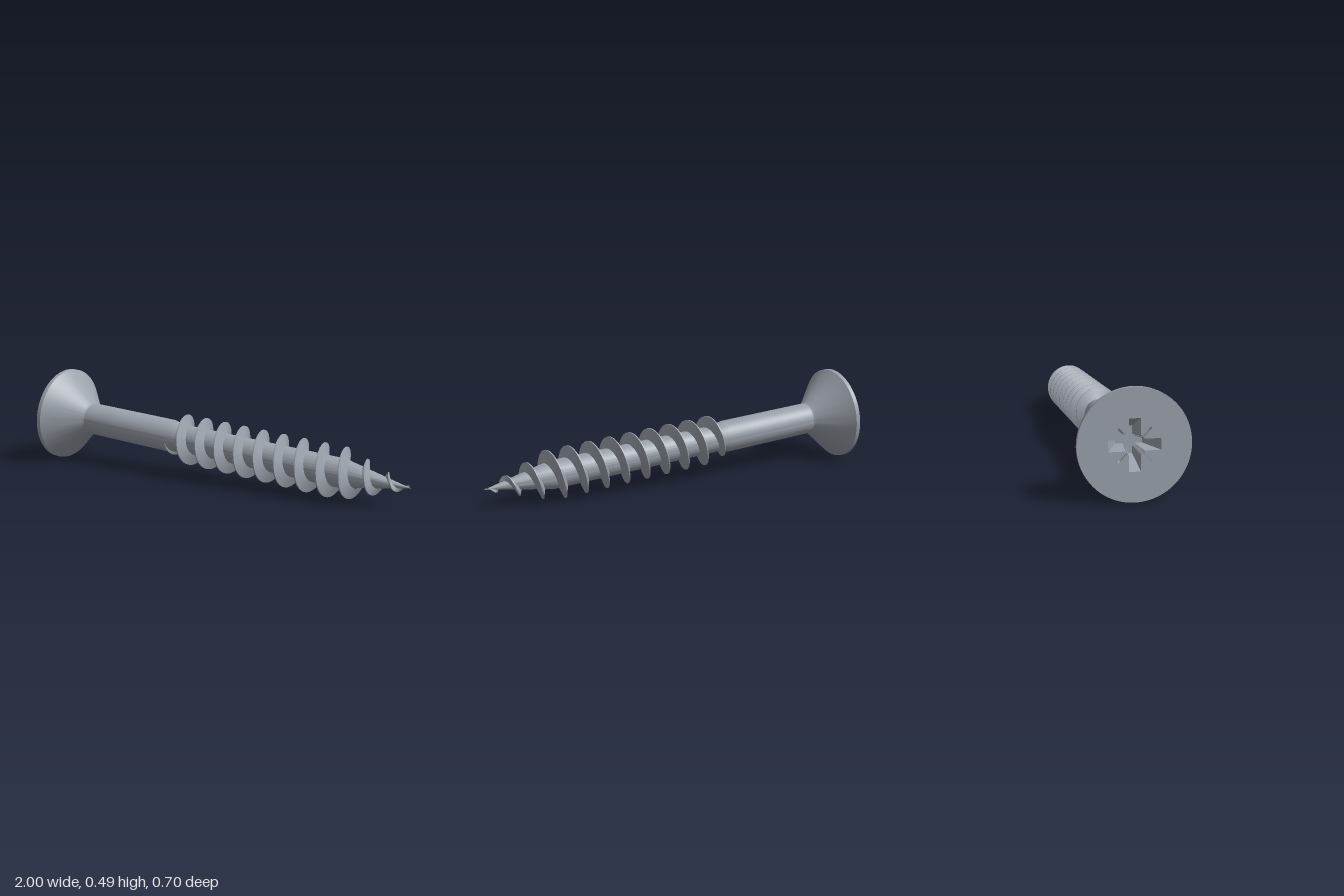
import * as THREE from 'three';
import { toCreasedNormals } from 'three/addons/utils/BufferGeometryUtils.js';

const LENGTH = 1.993, PITCH = 0.1097;
const lerp = THREE.MathUtils.lerp, clamp = THREE.MathUtils.clamp;

// core radius at distance t behind the head face
function coreRadius(t) {
  return t < 1.66 ? 0.07 : 0.07 * Math.max(0, (LENGTH - t) / (LENGTH - 1.66));
}

// crest radius of the thread: run-in, full height, taper to the tip
function crestRadius(t) {
  const runIn = lerp(0.072, 0.125, clamp((t - 0.69) / 0.09, 0, 1));
  const taper = lerp(0.125, 0.006, clamp((t - 1.67) / (LENGTH - 1.67), 0, 1));
  return Math.min(runIn, taper);
}

// surface of revolution along +x from [radius, distance] pairs
function turned(points) {
  const g = new THREE.LatheGeometry(points.map(p => new THREE.Vector2(...p)), 72);
  g.rotateZ(-Math.PI / 2);
  return toCreasedNormals(g, 0.4);
}

// right-handed V thread swept along the core
function threadGeometry() {
  const pos = [], index = [], start = 0.69, end = LENGTH - 0.008, steps = 860;
  for (let i = 0; i <= steps; i++) {
    const t = lerp(start, end, i / steps);
    const angle = ((t - 0.784) / PITCH) * Math.PI * 2;
    const crest = crestRadius(t), root = coreRadius(t) * 0.94;
    const tip = Math.min(0.003, crest * 0.1), half = tip + (crest - root) * 0.36;
    for (const [dx, r] of [[-half, root], [-tip, crest], [tip, crest], [half, root]]) {
      pos.push(Math.min(t + dx, LENGTH), r * Math.cos(angle), r * Math.sin(angle));
    }
    if (i === steps) break;
    for (let j = 0; j < 3; j++) {
      const a = i * 4 + j, b = a + 4;
      index.push(a, b, a + 1, b, b + 1, a + 1);
    }
  }
  const g = new THREE.BufferGeometry();
  g.setAttribute('position', new THREE.Float32BufferAttribute(pos, 3));
  g.setIndex(index);
  return toCreasedNormals(g, 0.5);
}

// cross outline with a thin notch between each pair of arms
function crossOutline(reach, w, inner, notch) {
  const pts = [], n = notch * Math.SQRT1_2, e = 0.003;
  const m = (inner + w) / 2;
  const quarter = [[reach, -w], [reach, w], [inner, w], [m + e, m - e],
    [n + e, n - e], [n - e, n + e], [m - e, m + e], [w, inner]];
  for (let k = 0; k < 4; k++) {
    for (const [x, y] of quarter) {
      pts.push(new THREE.Vector2(x, y).rotateAround(new THREE.Vector2(), k * Math.PI / 2));
    }
  }
  return pts;
}

// tapered walls between the recess mouth and its floor
function recessWalls(top, bottom, depth) {
  const pos = [];
  top.forEach((a, i) => {
    const j = (i + 1) % top.length, b = top[j], c = bottom[i], d = bottom[j];
    pos.push(a.x, a.y, 0, b.x, b.y, 0, c.x, c.y, -depth);
    pos.push(b.x, b.y, 0, d.x, d.y, -depth, c.x, c.y, -depth);
  });
  const g = new THREE.BufferGeometry();
  g.setAttribute('position', new THREE.Float32BufferAttribute(pos, 3));
  g.computeVertexNormals();
  return g;
}

export function createModel() {
  const steel = new THREE.MeshStandardMaterial({ color: 0x9ba2ac });
  steel.name = 'steel';
  const screw = new THREE.Group();
  screw.name = 'screw';
  const add = (name, geometry) => {
    const mesh = new THREE.Mesh(geometry, steel);
    mesh.name = name;
    screw.add(mesh);
  };

  // countersunk head and plain shank
  add('head', turned([[0.243, 0], [0.243, 0.022], [0.09, 0.173], [0.083, 0.188]]));
  add('shank', turned([[0.083, 0.186], [0.083, 0.7], [0.07, 0.76]]));

  // threaded part and point
  add('core', turned([[0.07, 0.758], [0.07, 1.66], [0.035, (1.66 + LENGTH) / 2], [0.0001, LENGTH]]));
  add('thread', threadGeometry());

  // head face with the driver recess
  const depth = 0.12;
  const mouth = crossOutline(0.112, 0.025, 0.042, 0.1);
  const bottom = crossOutline(0.06, 0.016, 0.026, 0.034);
  const faceShape = new THREE.Shape().absarc(0, 0, 0.243, 0, Math.PI * 2);
  faceShape.holes.push(new THREE.Path(mouth));
  const toHead = g => g.rotateY(-Math.PI / 2);
  add('headFace', toHead(new THREE.ShapeGeometry(faceShape, 72)));
  add('recessWalls', toHead(recessWalls(mouth, bottom, depth)));
  add('recessFloor', toHead(new THREE.ShapeGeometry(new THREE.Shape(bottom)).translate(0, 0, -depth)));

  // lay the screw down, resting on the head rim and the thread
  const axis = new THREE.Vector3(1.945, -0.143, 0.404).normalize();
  const up = new THREE.Vector3(0, 1, 0).addScaledVector(axis, -axis.y).normalize();
  const side = new THREE.Vector3().crossVectors(axis, up);
  screw.quaternion.setFromRotationMatrix(new THREE.Matrix4().makeBasis(axis, up, side));
  screw.position.set(-0.947, 0.244, -0.113);

  const model = new THREE.Group();
  model.name = 'model';
  model.add(screw);
  return model;
}
